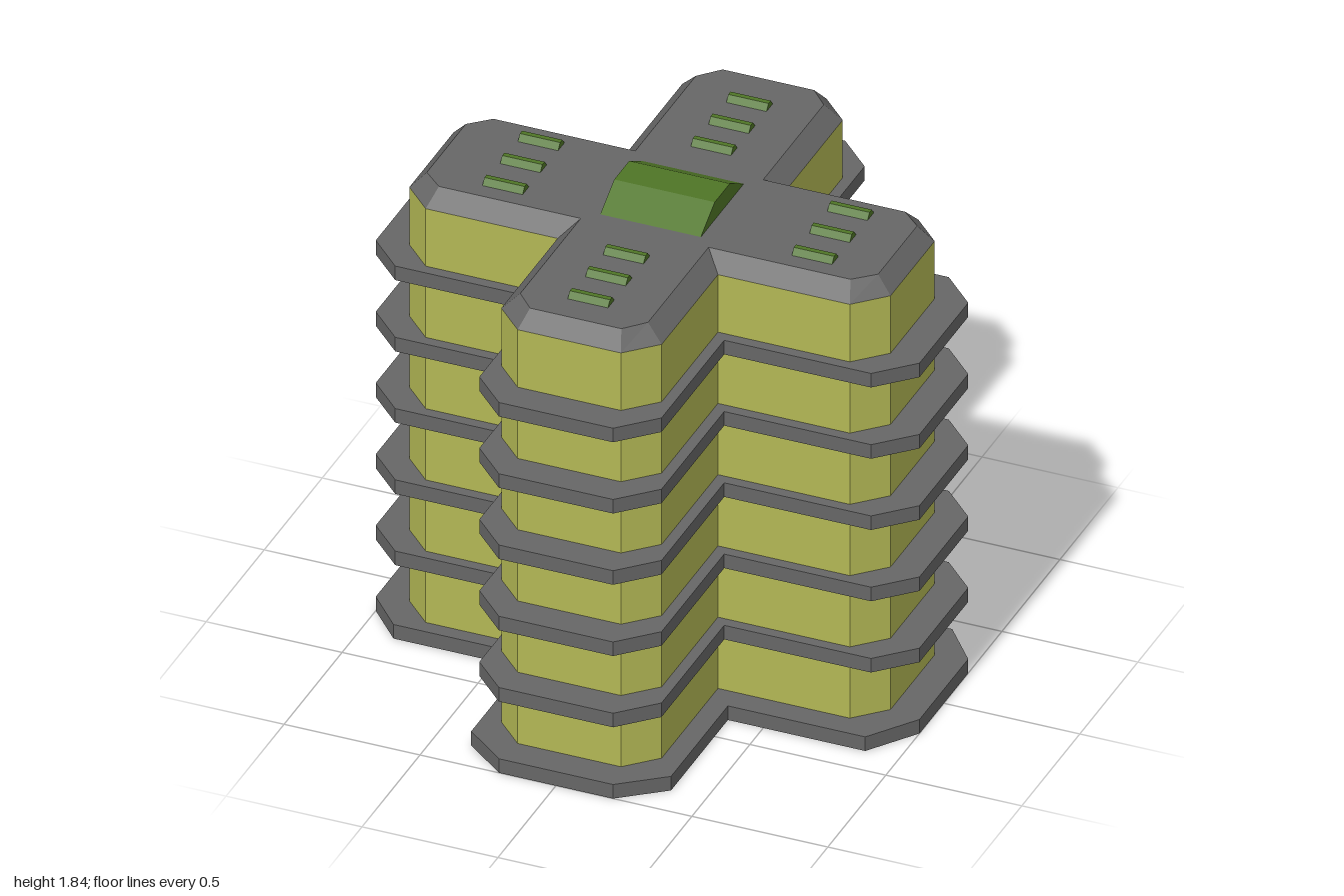
import * as THREE from 'three';
import { mergeGeometries } from 'three/addons/utils/BufferGeometryUtils.js';

const mat = (color) => new THREE.MeshStandardMaterial({ color, flatShading: true, side: THREE.DoubleSide });

// Cross-shaped outline with chamfered arm ends, counter-clockwise from above.
// corners: inner corners [x, z] in the order back-right, back-left, front-left, front-right.
function outline(length, endHalf, chamferAt, corners) {
  const [br, bl, fl, fr] = corners;
  return [
    [chamferAt, fr[1]], [length, endHalf], [length, -endHalf], [chamferAt, br[1]], br,
    [br[0], -chamferAt], [endHalf, -length], [-endHalf, -length], [bl[0], -chamferAt], bl,
    [-chamferAt, bl[1]], [-length, -endHalf], [-length, endHalf], [-chamferAt, fl[1]], fl,
    [fl[0], chamferAt], [-endHalf, length], [endHalf, length], [fr[0], chamferAt], fr,
  ];
}
const evenCorners = (h) => [[h, -h], [-h, -h], [-h, h], [h, h]];

// Strip of flat faces joining two outlines at two heights.
function band(lower, y0, upper, y1) {
  const pos = [];
  lower.forEach((a, i) => {
    const j = (i + 1) % lower.length;
    const b = lower[j], c = upper[j], d = upper[i];
    pos.push(a[0], y0, a[1], b[0], y0, b[1], c[0], y1, c[1]);
    pos.push(a[0], y0, a[1], c[0], y1, c[1], d[0], y1, d[1]);
  });
  const g = new THREE.BufferGeometry();
  g.setAttribute('position', new THREE.Float32BufferAttribute(pos, 3));
  g.computeVertexNormals();
  return g;
}

// Flat face filling an outline, facing up.
function cap(points, y) {
  const shape = new THREE.Shape(points.map(([x, z]) => new THREE.Vector2(x, -z)));
  const g = new THREE.ShapeGeometry(shape).toNonIndexed();
  g.deleteAttribute('uv');
  return g.rotateX(-Math.PI / 2).translate(0, y, 0);
}

// Trapezoid ridge running along x, standing on y = 0.
function ridge(width, depth, height) {
  const b = depth / 2, t = depth * 0.175;
  const shape = new THREE.Shape([[-b, 0], [b, 0], [t, height], [-t, height]].map(([x, y]) => new THREE.Vector2(x, y)));
  return new THREE.ExtrudeGeometry(shape, { depth: width, bevelEnabled: false })
    .translate(0, 0, -width / 2).rotateY(Math.PI / 2);
}

export function createModel() {
  const tower = new THREE.Group();
  tower.name = 'tower';
  const wallMat = mat(0xb2b754), slabMat = mat(0x666666), greenMat = mat(0x4f7526);
  const add = (name, geometry, material, x = 0, y = 0, z = 0) => {
    const mesh = new THREE.Mesh(geometry, material);
    mesh.name = name;
    mesh.position.set(x, y, z);
    tower.add(mesh);
  };

  const wall = outline(0.885, 0.19, 0.78, evenCorners(0.295));
  const ledge = outline(1, 0.21, 0.875, evenCorners(0.335));
  const base = outline(1, 0.21, 0.875, [[0.34, -0.365], [-0.35, -0.365], [-0.365, 0.35], [0.37, 0.385]]);
  const roofTop = outline(0.83, 0.168, 0.757, evenCorners(0.235));

  const floors = 6, storey = 0.284, thick = 0.056, eaves = 1.705, roofY = 1.765;
  for (let i = 0; i < floors; i++) {
    const y = i * storey, top = y + thick;
    const edge = i === 0 ? base : ledge;
    // Projecting slab; the ground slab is open underneath
    const faces = [band(edge, y, edge, top), band(edge, top, wall, top)];
    if (i > 0) faces.push(band(wall, y, edge, y));
    add(i === 0 ? 'groundSlab' : 'floorSlab', mergeGeometries(faces), slabMat);
    // Storey wall up to the next slab
    const next = i === floors - 1 ? eaves : y + storey;
    add('storeyWall', band(wall, top, wall, next), wallMat);
  }

  // Roof with sloping rim
  add('roof', mergeGeometries([band(wall, eaves, roofTop, roofY), cap(roofTop, roofY)]), slabMat);

  // Central skylight and rows of small vents on the four arms
  add('skylight', ridge(0.37, 0.37, 0.07), greenMat, 0, roofY, 0);
  const vent = ridge(0.148, 0.055, 0.022);
  const rows = [[0, -0.515], [0, 0.545], [-0.55, -0.008], [0.588, -0.008]];
  for (const [x, z] of rows) {
    for (const step of [-1, 0, 1]) add('roofVent', vent, greenMat, x, roofY, z + step * 0.153);
  }
  return tower;
}
